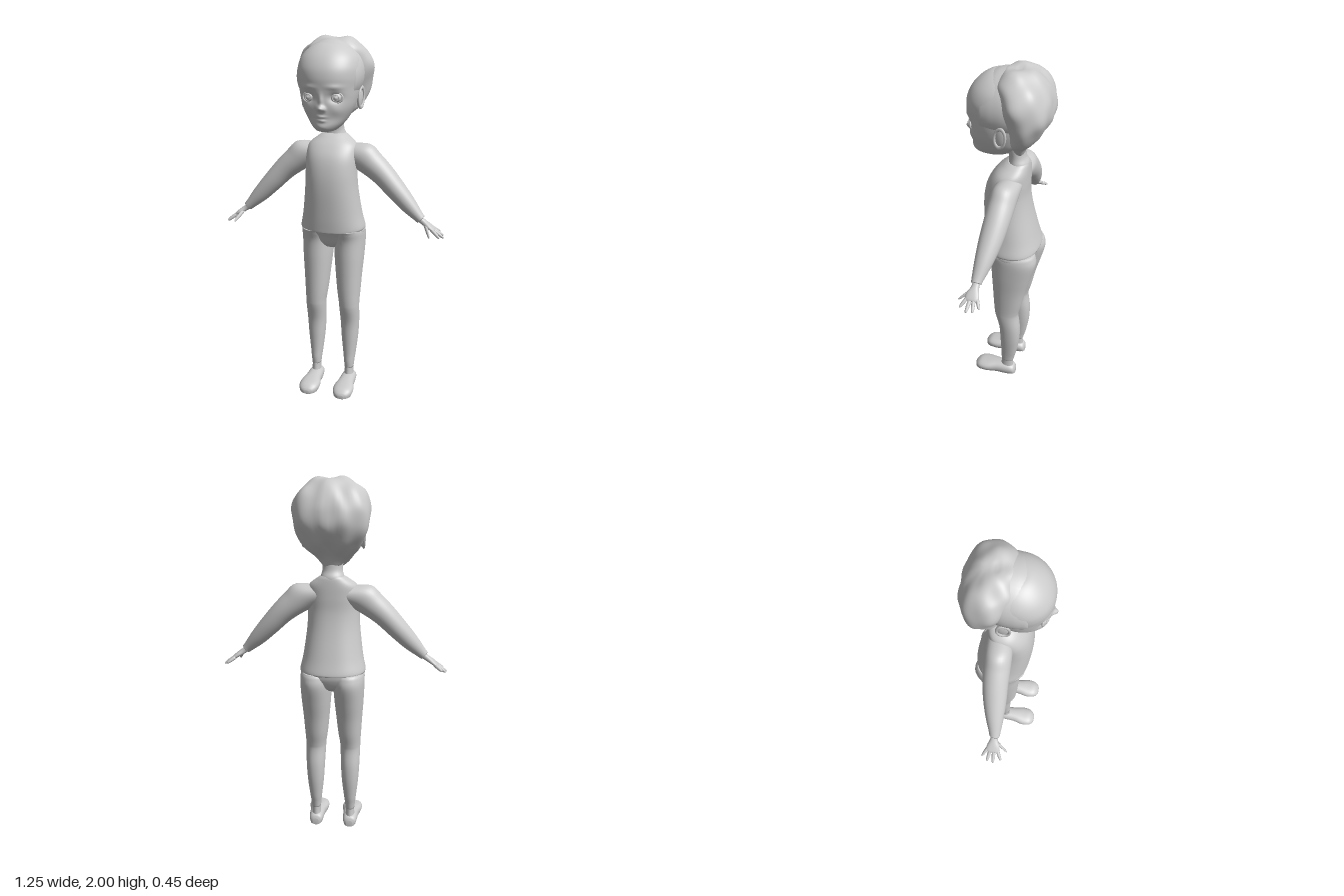
import * as THREE from 'three';

const V = (x, y, z) => new THREE.Vector3(x, y, z);
const material = new THREE.MeshStandardMaterial({ color: 0xcccccc, roughness: 0.8 });

// Smooth closed skin over rings {c, u, v}: centre and two half-axes, u x v along the body
function loft(rings, { segs = 32, steps = 6, n = 2, deform } = {}) {
  const [c, u, v] = ['c', 'u', 'v'].map(k =>
    new THREE.CatmullRomCurve3(rings.map(r => r[k]), false, 'catmullrom', 0.5));
  const rows = (rings.length - 1) * steps, pos = [], index = [];
  const power = t => Math.sign(t) * Math.abs(t) ** (2 / n);
  const put = p => { if (deform) deform(p); pos.push(p.x, p.y, p.z); };
  for (let i = 0; i <= rows; i++) {
    const t = i / rows, C = c.getPoint(t), U = u.getPoint(t), W = v.getPoint(t);
    for (let j = 0; j < segs; j++) {
      const a = j / segs * Math.PI * 2;
      put(C.clone().addScaledVector(U, power(Math.cos(a))).addScaledVector(W, power(Math.sin(a))));
    }
  }
  put(c.getPoint(0)); put(c.getPoint(1));
  const first = (rows + 1) * segs;
  for (let j = 0; j < segs; j++) {
    const k = (j + 1) % segs, e = rows * segs;
    for (let i = 0; i < rows; i++) {
      const a = i * segs + j, b = i * segs + k;
      index.push(a, b, a + segs, b, b + segs, a + segs);
    }
    index.push(first, k, j, first + 1, e + j, e + k);
  }
  const g = new THREE.BufferGeometry();
  g.setAttribute('position', new THREE.Float32BufferAttribute(pos, 3));
  g.setIndex(index);
  g.computeVertexNormals();
  return g;
}

// Horizontal ring: height, centre x, half width, front z, back z
const level = ([y, x, hx, zf, zb]) => ({ c: V(x, y, (zf + zb) / 2), u: V(hx, 0, 0), v: V(0, 0, (zb - zf) / 2) });
const mid = ([y, hx, zf, zb]) => level([y, 0, hx, zf, zb]);
// Ring facing +z: z, centre x, centre y, half width, half height
const upright = ([z, x, y, hx, hy]) => ({ c: V(x, y, z), u: V(hx, 0, 0), v: V(0, hy, 0) });
// Ring square to the sloping arm: centre, half thickness, half depth
const sloped = ([x, y, z, a, b]) => ({ c: V(x, y, z), u: V(0.67 * a, 0.74 * a, 0), v: V(0, 0, b) });

function mirrored(geo) {
  const g = geo.clone().scale(-1, 1, 1), ix = g.index.array;
  for (let i = 0; i < ix.length; i += 3) [ix[i], ix[i + 1]] = [ix[i + 1], ix[i]];
  return g;
}

// Facial relief: x, y, width, height, depth
const relief = [
  [0, 1.652, 0.016, 0.014, 0.03], [0, 1.69, 0.011, 0.03, 0.01], [0.016, 1.648, 0.009, 0.009, 0.009],
  [0.068, 1.705, 0.032, 0.022, -0.018], [0.07, 1.757, 0.04, 0.012, 0.006], [0.08, 1.64, 0.03, 0.03, 0.006],
  [0, 1.609, 0.024, 0.006, 0.011], [0, 1.59, 0.02, 0.007, 0.01], [0, 1.625, 0.03, 0.012, 0.003], [0, 1.553, 0.03, 0.014, 0.004],
];
function sculptFace(p) {
  if (p.z < 0.06) return;
  let d = 0;
  for (const [x, y, w, h, k] of relief)
    d += k * Math.exp(-(((Math.abs(p.x) - x) / w) ** 2) - ((p.y - y) / h) ** 2);
  p.z += d;
}

// Soft, irregular locks
function ruffle(p) {
  const a = Math.atan2(p.x, p.z + 0.1), k = 1 + 0.018 * Math.sin(a * 9 + p.y * 14) + 0.014 * Math.sin(a * 5 - p.y * 37);
  p.x *= k;
  p.z = -0.1 + (p.z + 0.1) * k;
  p.y += 0.008 * Math.sin(p.x * 45 + 1) * Math.sin(p.z * 30) - 0.003;
}

export function createModel() {
  const model = new THREE.Group();
  model.name = 'child';
  const add = (name, geo) => {
    const m = new THREE.Mesh(geo, material);
    m.name = name;
    model.add(m);
  };
  const pair = (name, geo) => {
    add('left' + name, geo);
    add('right' + name, mirrored(geo));
  };

  // Shirt body and neck
  add('shirt', loft([
    [0.968, 0.176, 0.108, -0.183], [0.985, 0.179, 0.11, -0.183], [1.06, 0.163, 0.117, -0.163],
    [1.2, 0.145, 0.125, -0.13], [1.3, 0.14, 0.12, -0.115], [1.38, 0.14, 0.1, -0.115],
    [1.44, 0.13, 0.062, -0.115], [1.48, 0.085, 0.02, -0.113], [1.497, 0.06, -0.005, -0.108],
  ].map(mid), { segs: 48, n: 2.3 }));
  add('neck', loft([
    [1.44, 0.075, 0.01, -0.11], [1.49, 0.064, -0.005, -0.112], [1.53, 0.054, -0.005, -0.095], [1.6, 0.06, 0.01, -0.09],
  ].map(mid)));

  // Sleeves
  pair('Sleeve', loft([
    [0.06, 1.4, -0.04, 0.06, 0.06], [0.15, 1.383, -0.035, 0.081, 0.069], [0.215, 1.338, -0.033, 0.072, 0.069],
    [0.28, 1.283, -0.03, 0.063, 0.066], [0.35, 1.21, -0.022, 0.056, 0.06], [0.42, 1.136, -0.012, 0.046, 0.047],
    [0.48, 1.075, -0.002, 0.03, 0.031], [0.497, 1.058, 0, 0.026, 0.027],
  ].map(sloped)));

  // Hands with four fingers and a thumb
  pair('Palm', loft([
    [0.478, 1.07, 0, 0.017, 0.02], [0.51, 1.046, 0, 0.016, 0.02],
    [0.54, 1.026, 0.002, 0.014, 0.033], [0.563, 1.01, 0, 0.011, 0.036], [0.572, 1.004, 0, 0.007, 0.032],
  ].map(sloped), { segs: 20, n: 2.3 }));
  const digits = [
    ['LittleFinger', [0.555, 1.013, -0.026], [0.597, 0.984, -0.05]],
    ['RingFinger', [0.56, 1.01, -0.01], [0.617, 0.972, -0.022]],
    ['MiddleFinger', [0.56, 1.01, 0.008], [0.622, 0.968, 0.011]],
    ['IndexFinger', [0.557, 1.012, 0.024], [0.604, 0.976, 0.05]],
    ['Thumb', [0.52, 1.036, 0.012], [0.555, 0.98, 0.074]],
  ];
  for (const [name, a, b] of digits)
    pair(name, loft([[0, 0.01], [0.5, 0.0095], [0.88, 0.007], [1, 0.003]].map(([t, r]) =>
      sloped([...a.map((q, i) => q + (b[i] - q) * t), r, r])), { segs: 10, steps: 3 }));

  // Trousers
  add('trouserSeat', loft([
    [0.865, 0.05, 0.03, -0.11], [0.895, 0.12, 0.055, -0.15], [0.94, 0.172, 0.077, -0.172], [0.976, 0.174, 0.102, -0.178],
  ].map(mid), { segs: 48, n: 2.3 }));
  pair('TrouserLeg', loft([
    [0.11, 0.1, 0.026, 0.008, -0.064], [0.15, 0.1, 0.03, 0.012, -0.073], [0.2, 0.1, 0.036, 0.012, -0.085],
    [0.3, 0.1, 0.047, 0.016, -0.1], [0.4, 0.1, 0.053, 0.022, -0.102], [0.49, 0.099, 0.056, 0.044, -0.092],
    [0.53, 0.098, 0.058, 0.05, -0.096], [0.6, 0.095, 0.065, 0.055, -0.114], [0.7, 0.093, 0.073, 0.06, -0.135],
    [0.8, 0.092, 0.081, 0.065, -0.162], [0.9, 0.091, 0.086, 0.07, -0.187], [0.95, 0.09, 0.086, 0.085, -0.182],
    [0.972, 0.09, 0.08, 0.095, -0.17],
  ].map(level), { n: 2.15 }));

  // Ankles and shoes
  pair('Ankle', loft([
    [0.03, 0.1, 0.03, 0.02, -0.066], [0.08, 0.1, 0.025, 0.012, -0.062], [0.14, 0.1, 0.025, 0.006, -0.06],
  ].map(level), { segs: 20 }));
  pair('Shoe', loft([
    [-0.078, 0.1, 0.022, 0.018, 0.018], [-0.065, 0.1, 0.032, 0.035, 0.03], [-0.025, 0.1, 0.035, 0.042, 0.037],
    [0.04, 0.1, 0.034, 0.046, 0.036], [0.1, 0.101, 0.03, 0.058, 0.033], [0.145, 0.102, 0.026, 0.053, 0.029],
    [0.17, 0.102, 0.02, 0.036, 0.019], [0.18, 0.102, 0.016, 0.015, 0.009],
  ].map(upright), { n: 2.3, deform: p => { p.y = p.y < 0.014 ? Math.max(0, p.y * 0.5) : p.y; } }));

  // Head
  add('head', loft([
    [1.526, 0.02, 0.13, 0.03], [1.533, 0.05, 0.168, 0], [1.56, 0.08, 0.185, -0.04], [1.6, 0.109, 0.185, -0.08],
    [1.65, 0.134, 0.193, -0.1], [1.7, 0.148, 0.197, -0.12], [1.75, 0.156, 0.202, -0.13], [1.8, 0.163, 0.206, -0.13],
    [1.85, 0.163, 0.197, -0.13], [1.9, 0.147, 0.17, -0.12], [1.94, 0.113, 0.13, -0.1], [1.965, 0.065, 0.085, -0.05],
    [1.972, 0.01, 0.03, 0.01],
  ].map(mid), { segs: 160, steps: 8, n: 2.12, deform: sculptFace }));

  // Eyes with iris rings and lids
  const eyePart = (name, geo, z) => pair(name, geo.rotateY(0.15).translate(0.068, 1.705, z));
  eyePart('Eyeball', new THREE.SphereGeometry(0.034, 24, 16).scale(1, 0.85, 1), 0.152);
  eyePart('Iris', new THREE.TorusGeometry(0.016, 0.0025, 8, 24).translate(0, 0, 0.03), 0.152);
  eyePart('Pupil', new THREE.SphereGeometry(0.007, 12, 8).scale(1, 1, 0.5).translate(0, 0, 0.034), 0.152);
  eyePart('Eyelid', new THREE.TorusGeometry(0.034, 0.005, 8, 32).scale(1, 0.76, 1).translate(0, 0, 0.016), 0.152);

  // Ears
  const earPart = (name, geo) => pair(name, geo.rotateX(-0.15).rotateY(-0.2).translate(0.15, 1.692, -0.01));
  earPart('Ear', new THREE.SphereGeometry(1, 20, 14).scale(0.011, 0.052, 0.03));
  earPart('EarRim', new THREE.TorusGeometry(0.03, 0.0065, 8, 28).rotateY(Math.PI / 2).scale(1, 1.7, 1).translate(0.009, 0, 0));

  // Hair: swept band above the forehead, full mass behind
  add('frontHair', loft([
    [-0.1, 0, 1.82, 0.15, 0.15], [-0.03, 0, 1.815, 0.17, 0.172], [0.03, 0, 1.81, 0.172, 0.172],
    [0.07, 0, 1.805, 0.167, 0.163], [0.098, 0, 1.8, 0.158, 0.154], [0.108, 0, 1.8, 0.14, 0.135],
  ].map(upright), { segs: 48 }));
  add('backHair', loft([
    [1.548, 0.045, -0.04, -0.085], [1.6, 0.095, -0.03, -0.112], [1.65, 0.143, -0.03, -0.155], [1.7, 0.168, -0.025, -0.193],
    [1.77, 0.19, 0, -0.226], [1.84, 0.202, 0.02, -0.224], [1.9, 0.187, 0.035, -0.205], [1.95, 0.155, 0.035, -0.172],
    [1.985, 0.105, 0.01, -0.13], [1.999, 0.05, -0.03, -0.09], [2, 0.01, -0.055, -0.065],
  ].map(mid), { segs: 64, n: 2.3, deform: ruffle }));
  return model;
}
